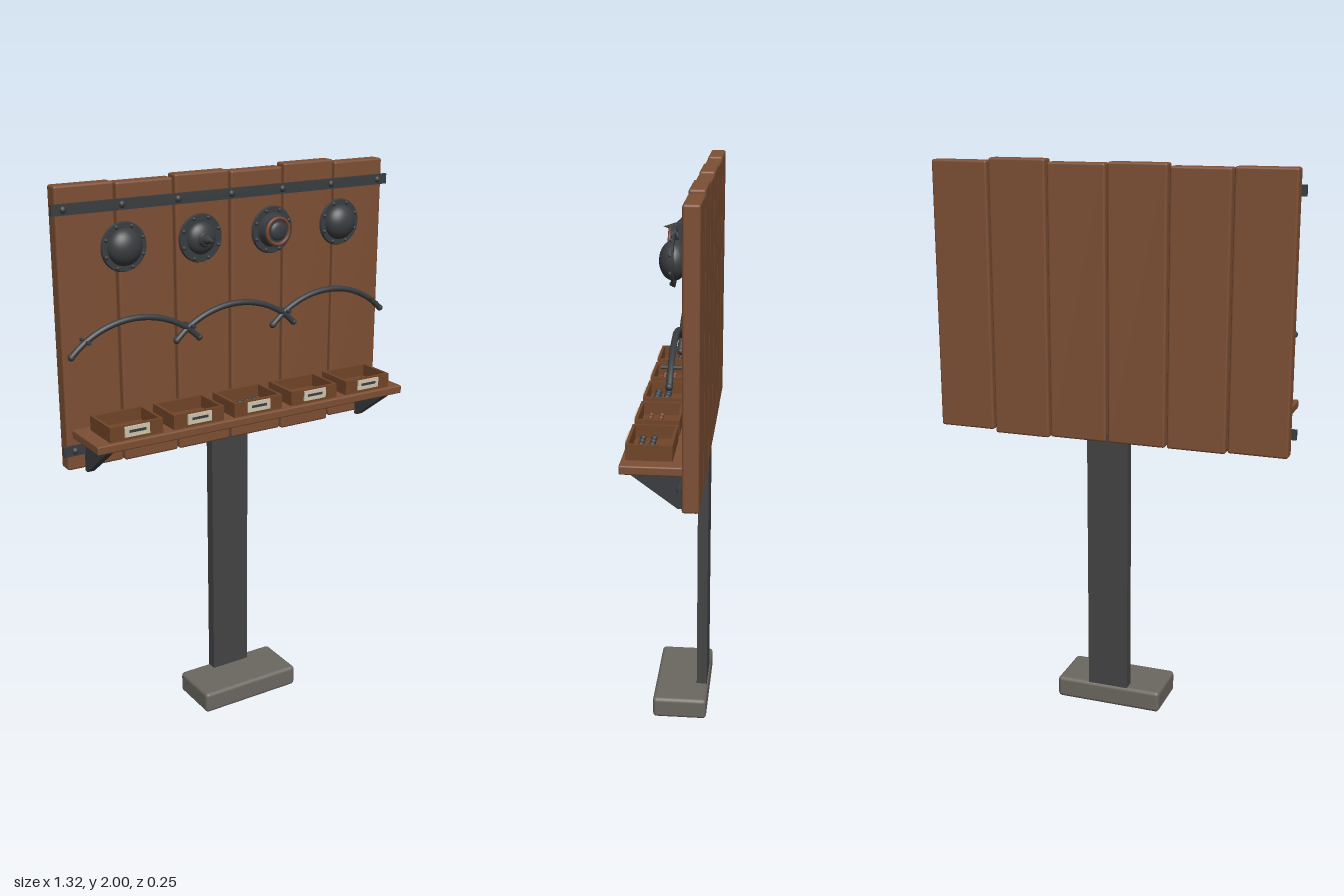
import * as THREE from 'three';
import { RoundedBoxGeometry } from 'three/addons/geometries/RoundedBoxGeometry.js';

const paint = (name, color) => {
  const m = new THREE.MeshStandardMaterial({ color });
  m.name = name;
  return m;
};

export function createModel() {
  const wood = paint('plank wood', 0x7d4f34);
  const trayWood = paint('tray wood', 0x714529);
  const iron = paint('dark iron', 0x3a3d40);
  const steel = paint('post steel', 0x444444);
  const stone = paint('base stone', 0x6b6760);
  const paper = paint('label paper', 0xcfc5ae);
  const rust = paint('rusted copper', 0x7a4630);
  const model = new THREE.Group();
  model.name = 'displayBoard';

  const add = (parent, name, geometry, material, x = 0, y = 0, z = 0) => {
    const mesh = new THREE.Mesh(geometry, material);
    mesh.name = name;
    mesh.position.set(x, y, z);
    parent.add(mesh);
    return mesh;
  };
  const group = (name, x = 0, y = 0, z = 0) => {
    const g = new THREE.Group();
    g.name = name;
    g.position.set(x, y, z);
    model.add(g);
    return g;
  };
  const box = (w, h, d) => new THREE.BoxGeometry(w, h, d);
  const rounded = (w, h, d, r) => new RoundedBoxGeometry(w, h, d, 2, r);
  // Cylinder or cone whose axis points to the front
  const forward = (rFront, rBack, length, sides = 16) =>
    new THREE.CylinderGeometry(rFront, rBack, length, sides).rotateX(Math.PI / 2);

  // Foot and post
  add(model, 'base', rounded(0.4, 0.08, 0.2, 0.014), stone, 0, 0.044, -0.026);
  add(model, 'post', box(0.152, 1.0, 0.038), steel, 0, 0.56, -0.101);

  // Back board of six uneven planks: [bottom, top]
  const ends = [[1.035, 1.99], [1.03, 1.986], [1.03, 1.995], [1.03, 1.99], [1.025, 2.0], [1.035, 1.99]];
  ends.forEach(([lo, hi], i) =>
    add(model, 'plank', rounded(0.209, hi - lo, 0.054, 0.008), wood, (i - 2.5) * 0.2165, (lo + hi) / 2, -0.1));

  // Iron straps with rivets
  for (const y of [1.107, 1.916]) {
    const strap = group('strap', 0, y, -0.069);
    add(strap, 'strapBar', box(1.324, 0.036, 0.011), iron);
    for (let i = -3; i <= 3; i++) {
      add(strap, 'rivet', new THREE.SphereGeometry(0.012, 12, 8).scale(1, 1, 0.8), iron, i * 0.207, 0, 0.005);
    }
  }

  // Shelf on two triangular brackets
  add(model, 'shelf', rounded(1.25, 0.03, 0.2, 0.005), wood, 0, 1.165, 0.026);
  const wedge = new THREE.Shape([[0.07, 1.025], [0.07, 1.151], [-0.1, 1.151], [-0.1, 1.14], [0.055, 1.025]]
    .map(([a, b]) => new THREE.Vector2(a, b)));
  const wedgeGeometry = new THREE.ExtrudeGeometry(wedge, { depth: 0.026, bevelEnabled: false })
    .translate(0, 0, -0.013).rotateY(Math.PI / 2);
  for (const side of [-1, 1]) add(model, 'shelfBracket', wedgeGeometry, iron, side * 0.571, 0, 0);

  // Open trays with a label and small parts inside: [size, first row, second row, material]
  const contents = [
    [0.008, 3, 5, iron], [0.008, 3, 5, rust], [0.013, 4, 5, iron], [0.008, 4, 5, rust], [0.01, 5, 5, iron],
  ];
  contents.forEach(([r, back, front, material], i) => {
    const tray = group('tray', (i - 2) * 0.2375, 1.18, 0.036);
    add(tray, 'trayFloor', box(0.19, 0.008, 0.14), trayWood, 0, 0.004, 0);
    for (const s of [-1, 1]) {
      add(tray, 'traySide', box(0.01, 0.052, 0.15), trayWood, s * 0.093, 0.026, 0);
      add(tray, 'trayEnd', box(0.176, 0.052, 0.01), trayWood, 0, 0.026, s * 0.07);
    }
    add(tray, 'label', box(0.092, 0.036, 0.006), paper, 0, 0.029, 0.078);
    add(tray, 'labelMark', box(0.062, 0.009, 0.002), iron, 0, 0.03, 0.0815);
    [back, front].forEach((count, row) => {
      for (let k = 0; k < count; k++) {
        add(tray, 'stud', new THREE.SphereGeometry(r, 10, 8), material, -0.062 + k * 0.031, 0.008 + r, row * 0.036);
      }
    });
  });

  // Round bosses: a rim with studs and a different centre on each
  const dome = (r, depth) => new THREE.SphereGeometry(r, 32, 18).scale(1, 1, depth / r);
  ['dome', 'spike', 'ring', 'dome'].forEach((kind, i) => {
    const boss = group(kind + 'Boss', (i - 1.5) * 0.286, 1.785, -0.03);
    add(boss, 'rim', forward(0.08, 0.083, 0.008, 32), iron);
    add(boss, 'mount', forward(0.015, 0.015, 0.05), iron, 0, 0, -0.025);
    for (let k = 0; k < 8; k++) {
      const a = (k + 0.5) * Math.PI / 4;
      add(boss, 'rimStud', new THREE.SphereGeometry(0.007, 8, 6), iron, Math.cos(a) * 0.072, Math.sin(a) * 0.072, 0.005);
    }
    if (kind === 'dome') {
      add(boss, 'dome', dome(0.062, 0.046), iron);
    } else if (kind === 'spike') {
      add(boss, 'dome', dome(0.055, 0.033), iron);
      add(boss, 'spikeCollar', forward(0.02, 0.028, 0.014, 20), iron, 0, 0, 0.034);
      add(boss, 'spike', forward(0, 0.019, 0.058, 20), iron, 0, 0, 0.063);
    } else {
      add(boss, 'drum', forward(0.052, 0.06, 0.036, 32), iron, 0, 0, 0.018);
      add(boss, 'backDome', dome(0.058, 0.034), iron);
      add(boss, 'ring', new THREE.TorusGeometry(0.045, 0.006, 10, 36), rust, 0, 0, 0.038);
      add(boss, 'centreCap', dome(0.032, 0.012), iron, 0, 0, 0.036);
    }
  });

  // Three overlapping arched rods, each hung on two pegs
  const R = 0.338, half = Math.asin(0.24 / R);
  const points = [];
  for (let k = 0; k <= 12; k++) {
    const a = half * (k / 6 - 1);
    points.push(new THREE.Vector3(Math.sin(a) * R, Math.cos(a) * R - R, 0));
  }
  const arch = new THREE.TubeGeometry(new THREE.CatmullRomCurve3(points), 36, 0.0105, 10);
  for (const x of [-0.392, 0, 0.392]) {
    const rod = group('archedRod', x, 1.543, -0.034);
    add(rod, 'arch', arch, iron);
    for (const s of [-1, 1]) {
      add(rod, 'archTip', new THREE.SphereGeometry(0.012, 10, 8), iron, s * 0.24, Math.cos(half) * R - R, 0);
      add(rod, 'peg', forward(0.006, 0.006, 0.072, 10), iron, s * 0.185, -0.055, -0.006);
    }
  }
  return model;
}
